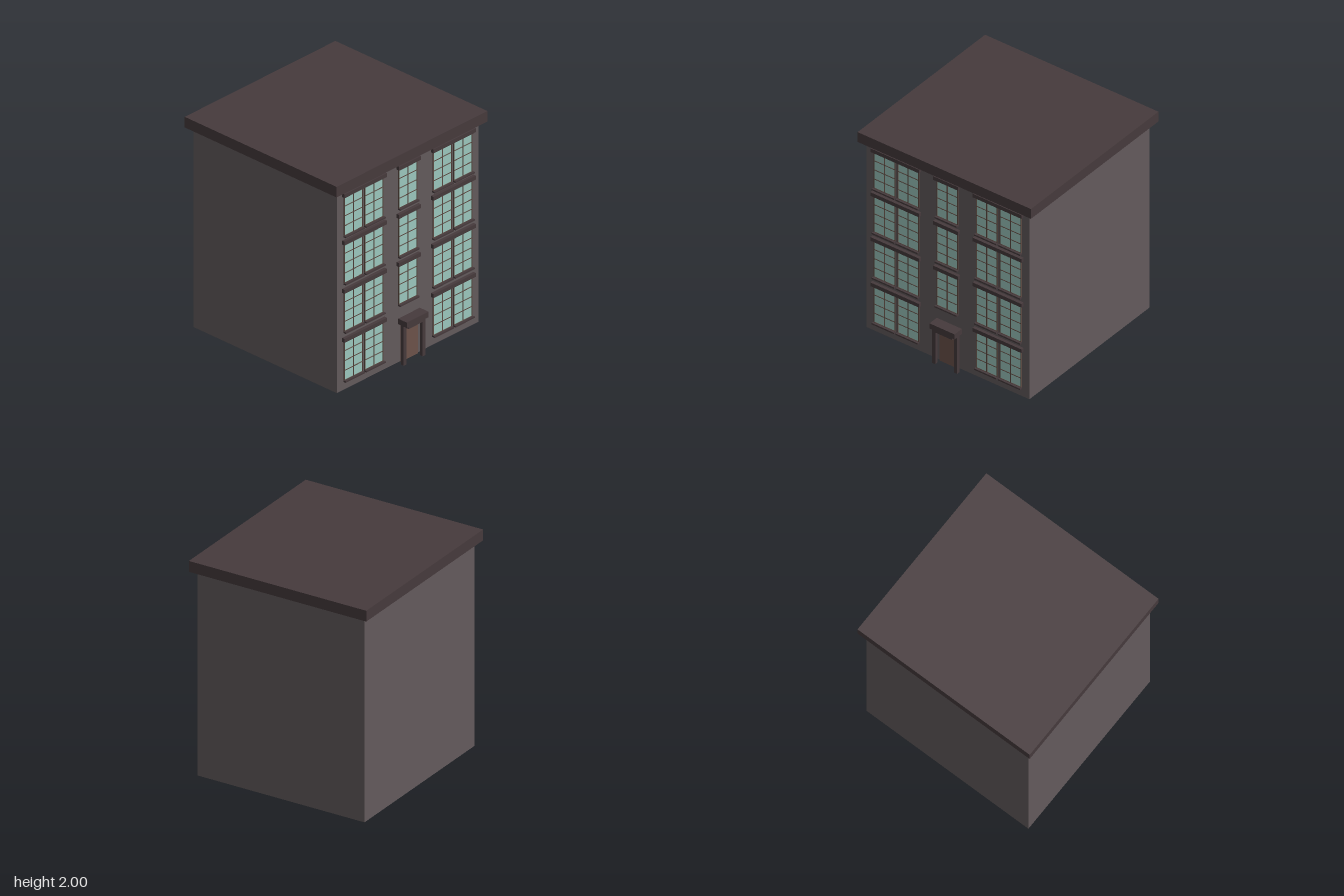
import * as THREE from 'three';

const paint = (color) => new THREE.MeshStandardMaterial({ color });
const WALL = paint(0x635a5c), TRIM = paint(0x463a3c), GLASS = paint(0x9cc8be);
const FRAME = paint(0x5c4a42), DOOR = paint(0x6c524a);
const FACE = 0.797; // z of the front wall

// Box given by its limits on each axis
function block(parent, name, material, [x0, x1], [y0, y1], [z0, z1]) {
  const mesh = new THREE.Mesh(new THREE.BoxGeometry(x1 - x0, y1 - y0, z1 - z0), material);
  mesh.position.set((x0 + x1) / 2, (y0 + y1) / 2, (z0 + z1) / 2);
  mesh.name = name;
  parent.add(mesh);
}

// One window: glass, frame, a 2 x 4 grid of bars and a sill
function addWindow(parent, x0, x1, y0, y1) {
  const win = new THREE.Group();
  win.name = 'window';
  const t = 0.004, bars = [FACE, FACE + 0.008];
  block(win, 'glass', GLASS, [x0, x1], [y0, y1], [FACE - 0.01, FACE + 0.004]);
  for (let i = 0; i <= 2; i++) {
    const x = x0 + (x1 - x0) * i / 2;
    block(win, 'verticalBar', FRAME, [x - t, x + t], [y0, y1], bars);
  }
  for (let i = 0; i <= 4; i++) {
    const y = y0 + (y1 - y0) * i / 4;
    block(win, 'horizontalBar', FRAME, [x0, x1], [y - t * 0.8, y + t * 0.8], bars);
  }
  block(win, 'sill', TRIM, [x0 - 0.008, x1 + 0.008], [y0 - 0.014, y0], [FACE, 0.826]);
  parent.add(win);
}

// A bay: one or more windows under a shared lintel
function addBay(parent, lefts, sillY, lintelY) {
  const bay = new THREE.Group(), width = 0.216;
  bay.name = 'windowBay';
  for (const x of lefts) addWindow(bay, x, x + width, sillY, lintelY);
  const end = lefts[lefts.length - 1] + width;
  block(bay, 'lintel', TRIM, [lefts[0] - 0.022, end + 0.022], [lintelY, lintelY + 0.037], [FACE, 0.826]);
  parent.add(bay);
}

export function createModel() {
  const building = new THREE.Group();
  building.name = 'building';

  // Main volume and flat overhanging roof
  block(building, 'walls', WALL, [-0.85, 0.85], [0.01, 1.9], [-0.845, FACE]);
  block(building, 'roof', TRIM, [-0.903, 0.903], [1.9, 2], [-0.896, 0.846]);

  // Paired windows on both sides, four storeys: [sill, lintel]
  for (const [y0, y1] of [[0.1, 0.47], [0.562, 0.933], [1.02, 1.39], [1.467, 1.838]]) {
    addBay(building, [-0.764, -0.517], y0, y1);
    addBay(building, [0.302, 0.55], y0, y1);
  }

  // Single windows above the door
  for (const [y0, y1] of [[0.558, 0.926], [1.012, 1.382], [1.467, 1.838]]) {
    addBay(building, [-0.11], y0, y1);
  }

  // Entrance: door, two posts and a canopy
  const entrance = new THREE.Group();
  entrance.name = 'entrance';
  block(entrance, 'door', DOOR, [-0.085, 0.115], [0.004, 0.345], [FACE - 0.01, FACE + 0.006]);
  for (const x of [-0.115, 0.112]) {
    block(entrance, 'post', TRIM, [x, x + 0.034], [0, 0.37], [0.832, 0.862]);
  }
  block(entrance, 'canopyBeam', TRIM, [-0.081, 0.112], [0.343, 0.37], [0.81, 0.885]);
  block(entrance, 'canopy', TRIM, [-0.115, 0.146], [0.37, 0.422], [FACE, 0.897]);
  building.add(entrance);

  return building;
}
